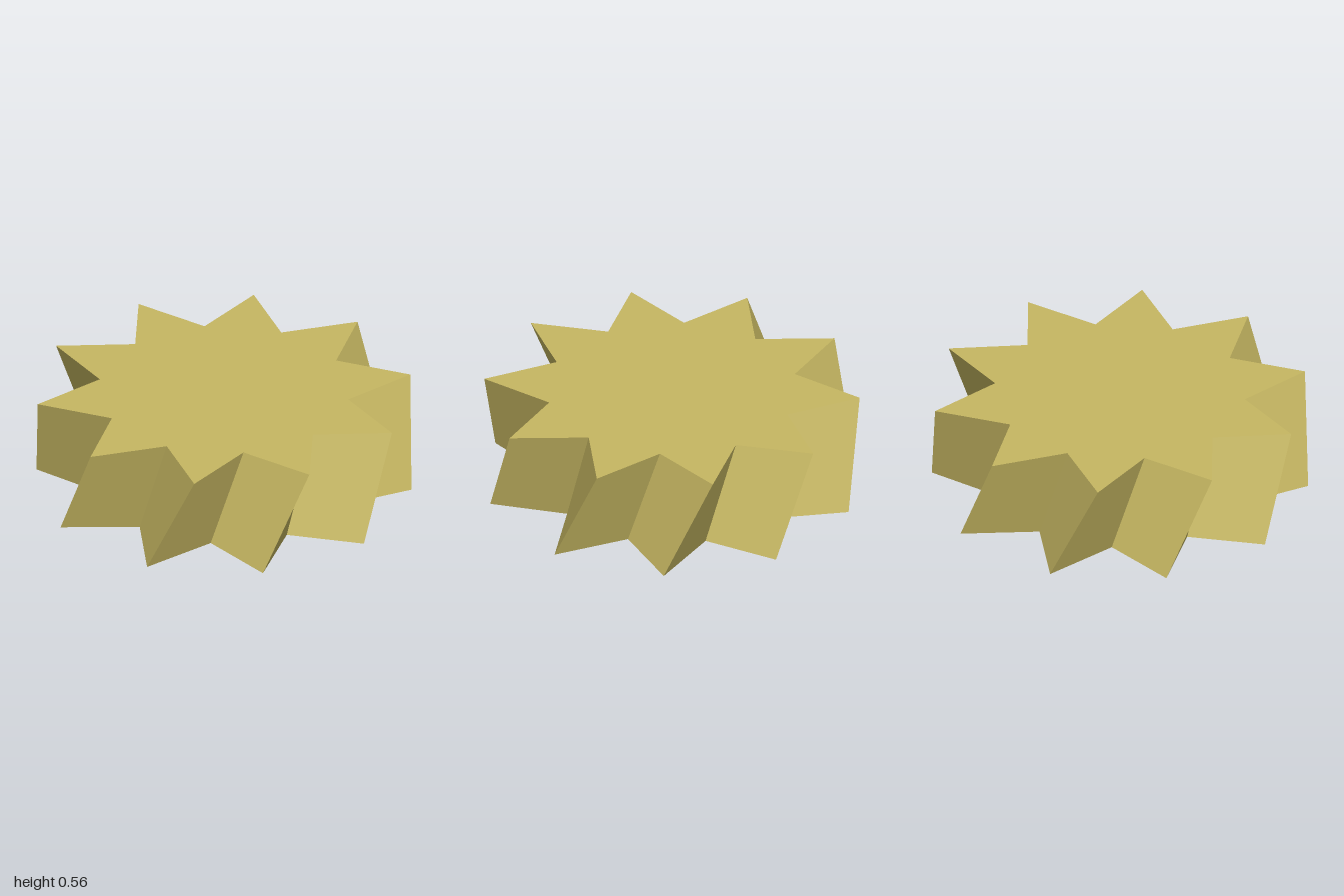
import * as THREE from 'three';

const POINTS = 10, OUTER = 1, INNER = 0.667, HEIGHT = 0.555;
const TWIST = THREE.MathUtils.degToRad(15);

// Corner i of the star outline: tips alternate with valleys
function corner(i, y, turn) {
  const r = i % 2 ? INNER : OUTER;
  const a = (i * Math.PI) / POINTS - turn;
  return new THREE.Vector3(r * Math.cos(a), y, r * Math.sin(a));
}

// Collects flat-shaded triangles with one normal per face
function faceBuilder() {
  const pos = [], nor = [];
  return {
    triangle(a, b, c, n) {
      for (const p of [a, b, c]) {
        pos.push(p.x, p.y, p.z);
        nor.push(n.x, n.y, n.z);
      }
    },
    build() {
      const g = new THREE.BufferGeometry();
      g.setAttribute('position', new THREE.Float32BufferAttribute(pos, 3));
      g.setAttribute('normal', new THREE.Float32BufferAttribute(nor, 3));
      return g;
    },
  };
}

export function createModel() {
  const group = new THREE.Group();
  group.name = 'twistedStar';
  const brass = new THREE.MeshStandardMaterial({ color: 0xc6b762 });
  brass.name = 'brass';

  const sides = faceBuilder(), top = faceBuilder(), bottom = faceBuilder();
  const up = new THREE.Vector3(0, 1, 0), down = new THREE.Vector3(0, -1, 0);
  const topCentre = new THREE.Vector3(0, HEIGHT, 0), bottomCentre = new THREE.Vector3();

  for (let i = 0; i < POINTS * 2; i++) {
    const b0 = corner(i, 0, 0), b1 = corner(i + 1, 0, 0);
    const t0 = corner(i, HEIGHT, TWIST), t1 = corner(i + 1, HEIGHT, TWIST);

    // Warped flank, fanned about its middle and shaded as one face
    const quad = [b0, t0, t1, b1];
    const middle = new THREE.Vector3();
    quad.forEach((p) => middle.addScaledVector(p, 0.25));
    const normal = t1.clone().sub(b0).cross(b1.clone().sub(t0)).normalize();
    quad.forEach((p, k) => sides.triangle(p, quad[(k + 1) % 4], middle, normal));

    // Star-shaped caps
    top.triangle(topCentre, t1, t0, up);
    bottom.triangle(bottomCentre, b0, b1, down);
  }

  for (const [name, part] of Object.entries({ sides, top, bottom })) {
    const mesh = new THREE.Mesh(part.build(), brass);
    mesh.name = name;
    group.add(mesh);
  }
  return group;
}
